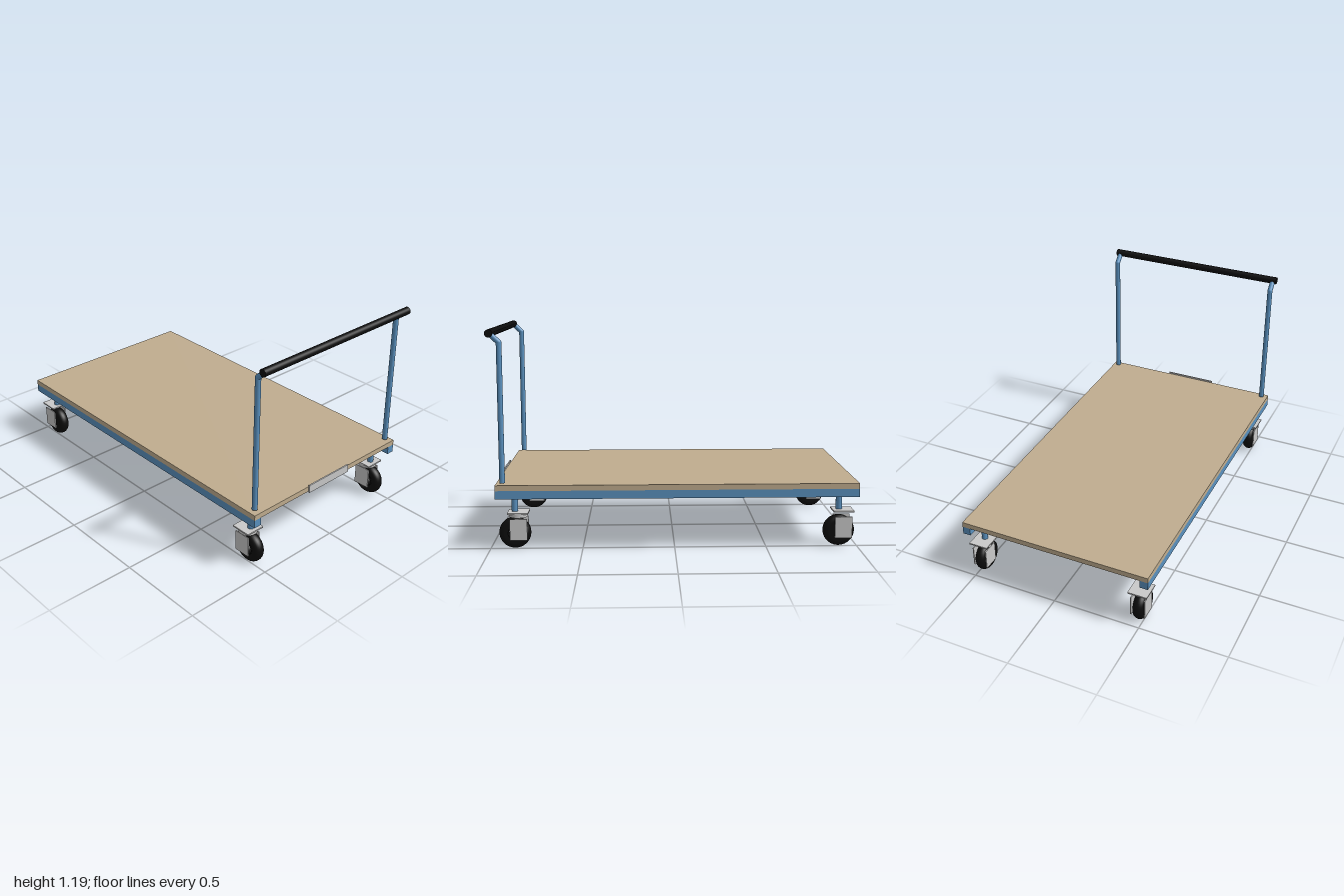
import * as THREE from 'three';

const mat = (name, color, side = THREE.FrontSide) => {
  const m = new THREE.MeshStandardMaterial({ color, side });
  m.name = name;
  return m;
};

export function createModel() {
  const wood = mat('plywood', 0xc0ad8f);
  const blue = mat('bluePaint', 0x5a91bf);
  const black = mat('blackRubber', 0x0d0d0d);
  const steel = mat('steel', 0xc9c9c9);
  const cart = new THREE.Group();
  cart.name = 'platformCart';

  const add = (parent, name, geometry, material, x, y, z) => {
    const mesh = new THREE.Mesh(geometry, material);
    mesh.name = name;
    mesh.position.set(x, y, z);
    parent.add(mesh);
    return mesh;
  };
  const box = (w, h, d) => new THREE.BoxGeometry(w, h, d);

  // Straight round bar between two points
  const bar = (parent, name, a, b, r, material) => {
    const dir = b.clone().sub(a);
    const mid = a.clone().add(b).multiplyScalar(0.5);
    const mesh = add(parent, name, new THREE.CylinderGeometry(r, r, dir.length(), 24), material, mid.x, mid.y, mid.z);
    mesh.quaternion.setFromUnitVectors(new THREE.Vector3(0, 1, 0), dir.normalize());
    return mesh;
  };
  const v = (x, y, z) => new THREE.Vector3(x, y, z);

  // Tyre with rounded shoulders; a bore radius of 0 gives a solid wheel
  const wheelGeometry = (bore) => {
    const pts = [new THREE.Vector2(bore, -0.031), new THREE.Vector2(0.058, -0.031)];
    for (let i = 0; i <= 12; i++) {
      const a = -Math.PI / 2 + (Math.PI * i) / 12;
      pts.push(new THREE.Vector2(0.06 + 0.0265 * Math.cos(a), 0.031 * Math.sin(a)));
    }
    pts.push(new THREE.Vector2(bore, 0.031));
    if (bore > 0) pts.push(new THREE.Vector2(bore, -0.031));
    return new THREE.LatheGeometry(pts, 40).rotateZ(Math.PI / 2);
  };

  // Deck and front nameplate blank
  add(cart, 'deck', box(1.1, 0.03, 1.965), wood, 0, 0.345, -0.0175);
  add(cart, 'frontPlate', box(0.306, 0.046, 0.008), steel, -0.002, 0.347, 0.969);

  for (const side of [-1, 1]) {
    // Side rail under the deck
    add(cart, 'sideRail', box(0.045, 0.045, 1.965), blue, side * 0.5275, 0.3075, -0.0175);

    // Handle post with a bent top
    const x = side * 0.515;
    const bend = v(x, 1.122, 0.928);
    bar(cart, 'handlePost', v(x, 0.368, 0.928), bend, 0.015, blue);
    bar(cart, 'handleBend', bend, v(x, 1.17, 0.978), 0.015, blue);
    add(cart, 'handleElbow', new THREE.SphereGeometry(0.015, 24, 12), blue, bend.x, bend.y, bend.z);

    // Casters: swivelling at the front, fixed at the back
    for (const front of [true, false]) {
      const caster = new THREE.Group();
      caster.name = front ? 'swivelCaster' : 'fixedCaster';
      caster.position.set(side * 0.48, 0, front ? 0.868 : -0.901);
      cart.add(caster);
      bar(caster, 'stem', v(0, 0.205, 0), v(0, 0.33, 0), 0.017, blue);
      add(caster, 'mountPlate', box(0.11, 0.008, 0.113), steel, 0, 0.2, -0.02);
      if (front) {
        add(caster, 'swivelRing', new THREE.CylinderGeometry(0.051, 0.051, 0.018, 32), steel, 0, 0.185, -0.02);
      }
      for (const s of [-1, 1]) {
        add(caster, 'forkPlate', box(0.006, 0.117, 0.094), steel, s * 0.039, 0.109, -0.022);
      }
      add(caster, 'wheel', wheelGeometry(front ? 0.036 : 0), black, 0, 0.0875, 0);
    }
  }

  // Handle grip
  bar(cart, 'handleGrip', v(-0.538, 1.17, 0.979), v(0.538, 1.17, 0.979), 0.021, black);

  return cart;
}
